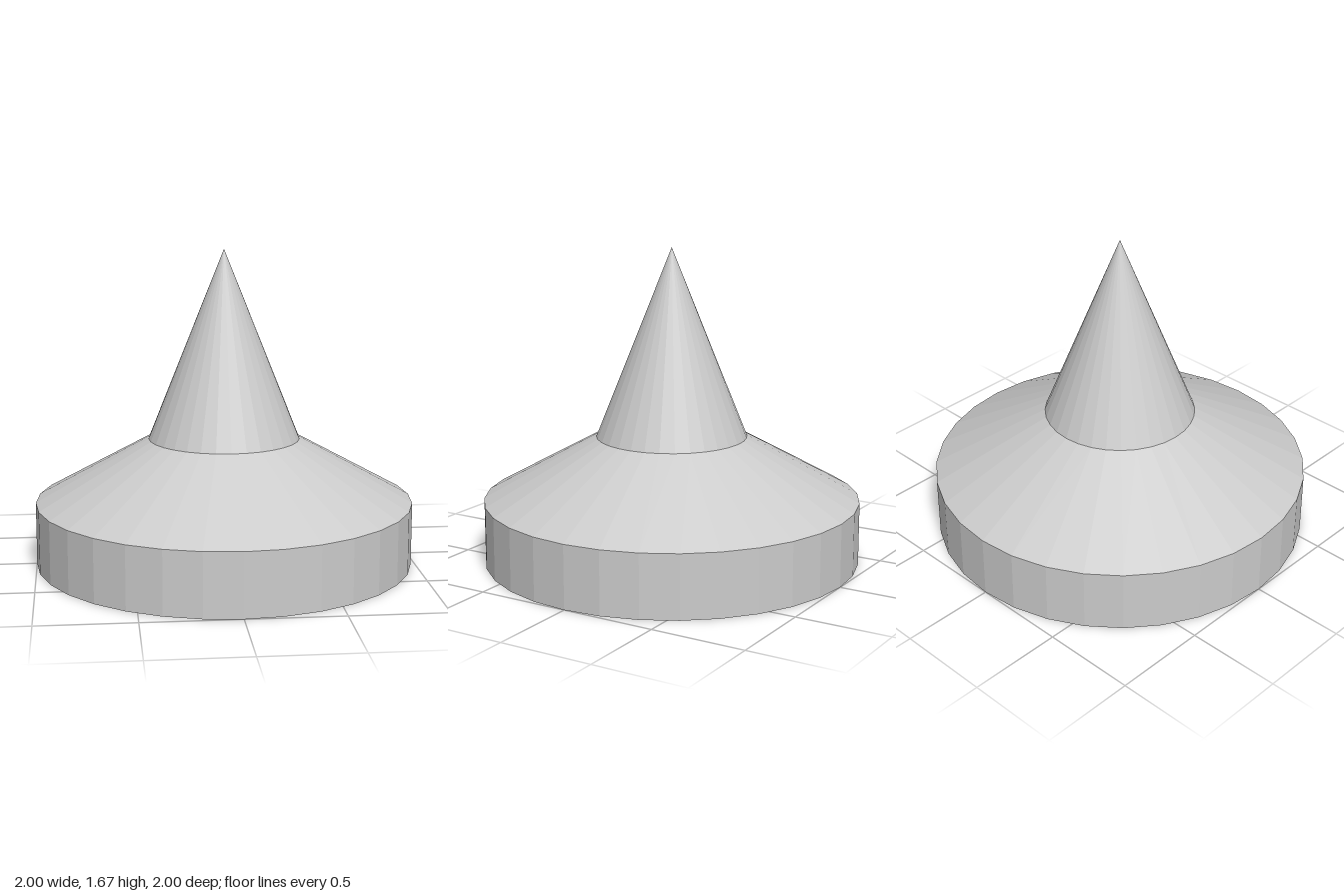
import * as THREE from 'three';

const SIDES = 32;

export function createModel() {
  const model = new THREE.Group();
  const material = new THREE.MeshStandardMaterial({ color: 0xcccccc, flatShading: true });

  // Adds one round, faceted section standing on height y
  function addSection(name, topRadius, bottomRadius, y, height, open) {
    const geometry = new THREE.CylinderGeometry(topRadius, bottomRadius, height, SIDES, 1, open);
    geometry.translate(0, y + height / 2, 0);
    const mesh = new THREE.Mesh(geometry, material);
    mesh.name = name;
    model.add(mesh);
  }

  // Straight-walled drum with its flat underside
  addSection('base', 1, 1, 0, 1 / 3, true);
  const underside = new THREE.Mesh(new THREE.CircleGeometry(1, SIDES).rotateX(Math.PI / 2), material);
  underside.name = 'underside';
  model.add(underside);

  // Sloping shoulder, then the pointed spire
  addSection('shoulder', 0.4, 1, 1 / 3, 1 / 3, true);
  addSection('spire', 0, 0.4, 2 / 3, 1, true);

  return model;
}
